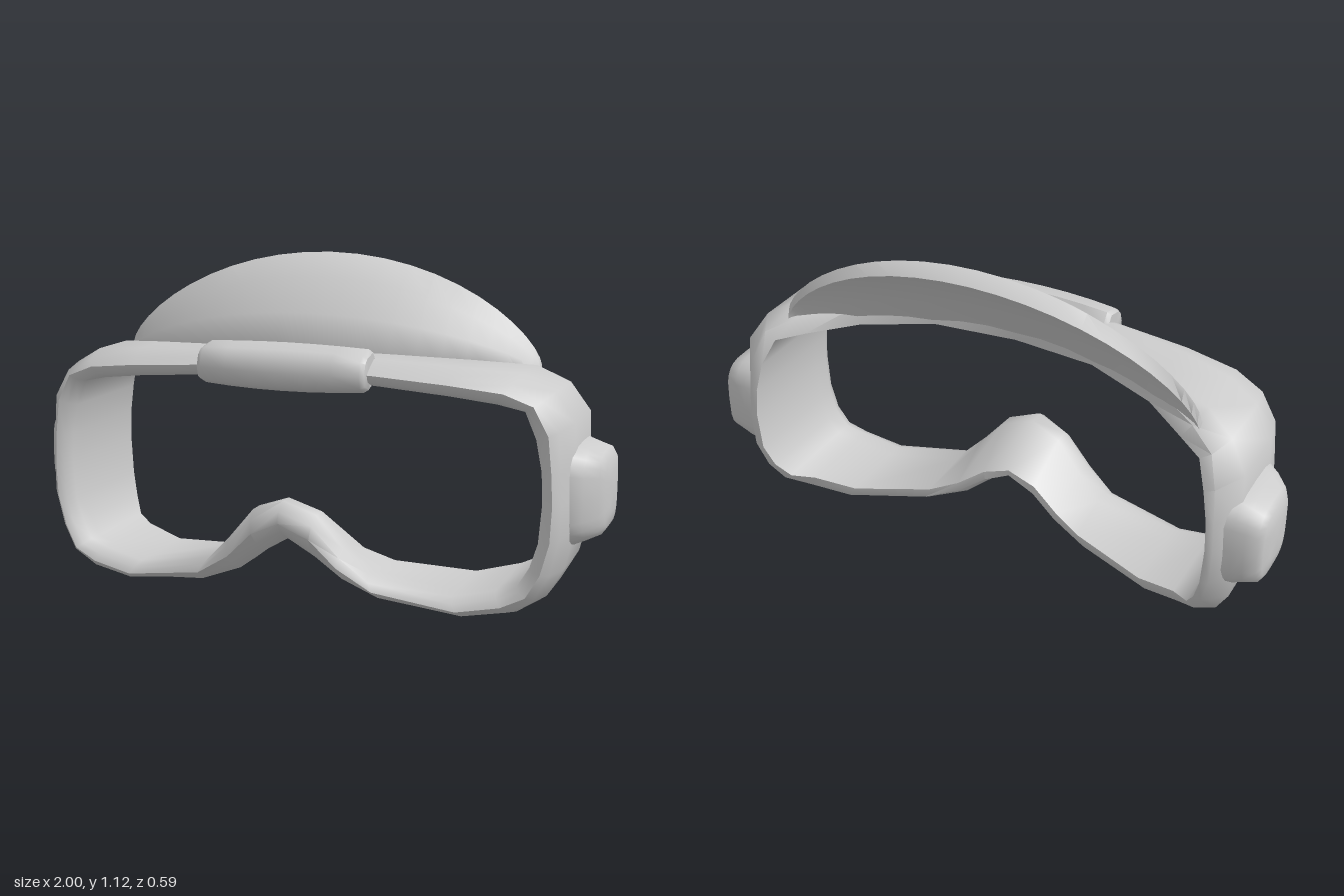
import * as THREE from 'three';
import { toCreasedNormals } from 'three/addons/utils/BufferGeometryUtils.js';

const mix = THREE.MathUtils.lerp;

// Skins a list of equal-length closed rings; 'loop' joins last to first, otherwise ends are capped.
function loft(rings, { loop = false, crease = 1 } = {}) {
  const n = rings[0].length, m = rings.length;
  const pos = rings.flat(), idx = [];
  for (let i = 0; i < (loop ? m : m - 1); i++) {
    for (let j = 0; j < n; j++) {
      const a = i * n + j, b = i * n + (j + 1) % n;
      const c = ((i + 1) % m) * n + j, d = ((i + 1) % m) * n + (j + 1) % n;
      idx.push(a, c, b, b, c, d);
    }
  }
  if (!loop) {
    for (const [start, end] of [[0, true], [(m - 1) * n, false]]) {
      const centre = [0, 1, 2].map(k => {
        let s = 0;
        for (let j = 0; j < n; j++) s += pos[start + j][k];
        return s / n;
      });
      const ci = pos.push(centre) - 1;
      for (let j = 0; j < n; j++) {
        const a = start + j, b = start + (j + 1) % n;
        idx.push(...(end ? [ci, a, b] : [ci, b, a]));
      }
    }
  }
  // Turn the faces outward when the enclosed volume is negative.
  const v = pos.map(p => new THREE.Vector3(...p));
  let volume = 0;
  for (let i = 0; i < idx.length; i += 3) {
    volume += v[idx[i]].dot(v[idx[i + 1]].clone().cross(v[idx[i + 2]]));
  }
  if (volume < 0) idx.reverse();
  const g = new THREE.BufferGeometry();
  g.setAttribute('position', new THREE.Float32BufferAttribute(pos.flat(), 3));
  g.setIndex(idx);
  return toCreasedNormals(g, crease);
}

// Half frame, top centre round to the nose: outer x, y, inner x, y, front z, back z,
// then where the back edge starts and ends between outer (0) and inner (1)
const HALF = [
  [0, 0.83, 0, 0.745, 0.25, 0.05, 0.15, 1],
  [0.3, 0.825, 0.29, 0.745, 0.24, 0.02, 0.15, 1],
  [0.55, 0.81, 0.53, 0.725, 0.225, -0.07, 0.25, 1],
  [0.74, 0.79, 0.68, 0.705, 0.2, -0.18, 0.4, 1],
  [0.84, 0.735, 0.765, 0.685, 0.185, -0.235, 0.5, 1],
  [0.9, 0.64, 0.8, 0.6, 0.18, -0.275, 0.65, 1],
  [0.905, 0.5, 0.82, 0.5, 0.18, -0.29, 0.7, 1],
  [0.91, 0.4, 0.825, 0.4, 0.18, -0.295, 0.7, 1],
  [0.91, 0.3, 0.815, 0.27, 0.18, -0.29, 0.7, 1],
  [0.88, 0.17, 0.79, 0.19, 0.18, -0.265, 0.7, 1],
  [0.83, 0.08, 0.755, 0.13, 0.19, -0.225, 0.65, 1],
  [0.74, 0.025, 0.69, 0.11, 0.2, -0.175, 0.6, 1],
  [0.6, 0.003, 0.55, 0.08, 0.215, -0.13, 0.55, 1],
  [0.33, 0.035, 0.28, 0.13, 0.24, -0.05, 0.4, 0.8],
  [0.18, 0.095, 0.2, 0.21, 0.255, -0.02, 0.25, 0.5],
  [0.09, 0.165, 0.11, 0.315, 0.265, 0, 0.15, 0.35],
  [0, 0.22, 0, 0.355, 0.28, 0, 0.1, 0.25],
];

function frameGeometry() {
  const section = ([ox, oy, ix, iy, zf, zb, backOut, backIn], side) => [
    [backOut, zb],
    [0, mix(zb, zf, 0.17)],
    [0, mix(zb, zf, 0.68)],
    [0.26, zf - 0.03],
    [0.52, zf],
    [0.8, zf - 0.01],
    [1, zf - 0.045],
    [1, zf - 0.1],
    [backIn, zb],
  ].map(([t, z]) => [side * mix(ox, ix, t), mix(oy, iy, t), z]);
  const left = HALF.map(s => section(s, 1));
  const right = HALF.slice(1, -1).reverse().map(s => section(s, -1));
  return loft([...left, ...right], { loop: true });
}

// Swept-back curved fin with a hollow rear, its foot sunk into the frame
function finGeometry() {
  const rings = [], steps = 24;
  for (let i = 0; i <= steps; i++) {
    const t = Math.sin((i / steps - 0.5) * Math.PI * 0.998);
    const q = t * t, k = 1 - q, rise = 0.335 * k ** 0.7;
    const base = [0.808 - 0.058 * q, 0.085 - 0.235 * q];
    const ridge = [0.785 + rise, -0.21 + 0.035 * q];
    const rim = [ridge[0] - 0.035, -0.26 + 0.075 * q];
    const foot = [0.765 - 0.03 * q, 0.055 - 0.23 * q];
    const along = (a, b, s, bulge) => [mix(a[0], b[0], s) + bulge * k, mix(a[1], b[1], s) + bulge * 0.6 * k];
    rings.push([
      base,
      along(base, ridge, 0.33, 0.025),
      along(base, ridge, 0.66, 0.03),
      ridge,
      rim,
      along(foot, rim, 0.66, 0.02),
      along(foot, rim, 0.33, 0.015),
      foot,
    ].map(([y, z]) => [0.74 * t, y, z]));
  }
  return loft(rings, { crease: 1.3 });
}

// Bowed clip on the brow, given as a side profile (z, y)
function clipGeometry() {
  const profile = [[0.255, 0.85], [0.185, 0.865], [0.15, 0.82], [0.2, 0.73],
    [0.24, 0.717], [0.285, 0.737], [0.298, 0.783], [0.282, 0.83]];
  const rings = [-0.285, -0.27, -0.18, -0.09, 0, 0.09, 0.18, 0.27, 0.285].map(x => {
    const s = Math.abs(x) > 0.28 ? 0.76 : 1 - 1.6 * x * x;
    return profile.map(([z, y]) => [x, 0.79 + (y - 0.79) * s, 0.225 + (z - 0.225) * s - 0.2 * x * x]);
  });
  return loft(rings);
}

// Rounded-square strap pad, stacked outward: x, half depth, half height, centre z
function padGeometry(side) {
  const layers = [[0.84, 0.18, 0.17, -0.085], [0.9, 0.175, 0.163, -0.09], [0.935, 0.158, 0.15, -0.1],
    [0.975, 0.13, 0.135, -0.12], [0.99, 0.107, 0.112, -0.125], [0.998, 0.06, 0.065, -0.125]];
  const power = v => Math.sign(v) * Math.abs(v) ** 0.55;
  const rings = layers.map(([x, rz, ry, cz]) => Array.from({ length: 24 }, (_, j) => {
    const a = j / 24 * Math.PI * 2;
    return [side * x, 0.4 + ry * power(Math.sin(a)), cz + rz * power(Math.cos(a))];
  }));
  return loft(rings);
}

export function createModel() {
  const group = new THREE.Group();
  const material = new THREE.MeshStandardMaterial({ color: 0xcccccc, side: THREE.DoubleSide });
  const add = (name, geometry) => {
    const mesh = new THREE.Mesh(geometry, material);
    mesh.name = name;
    group.add(mesh);
  };
  add('frame', frameGeometry());
  add('browFin', finGeometry());
  add('browClip', clipGeometry());
  add('leftStrapPad', padGeometry(1));
  add('rightStrapPad', padGeometry(-1));
  return group;
}
